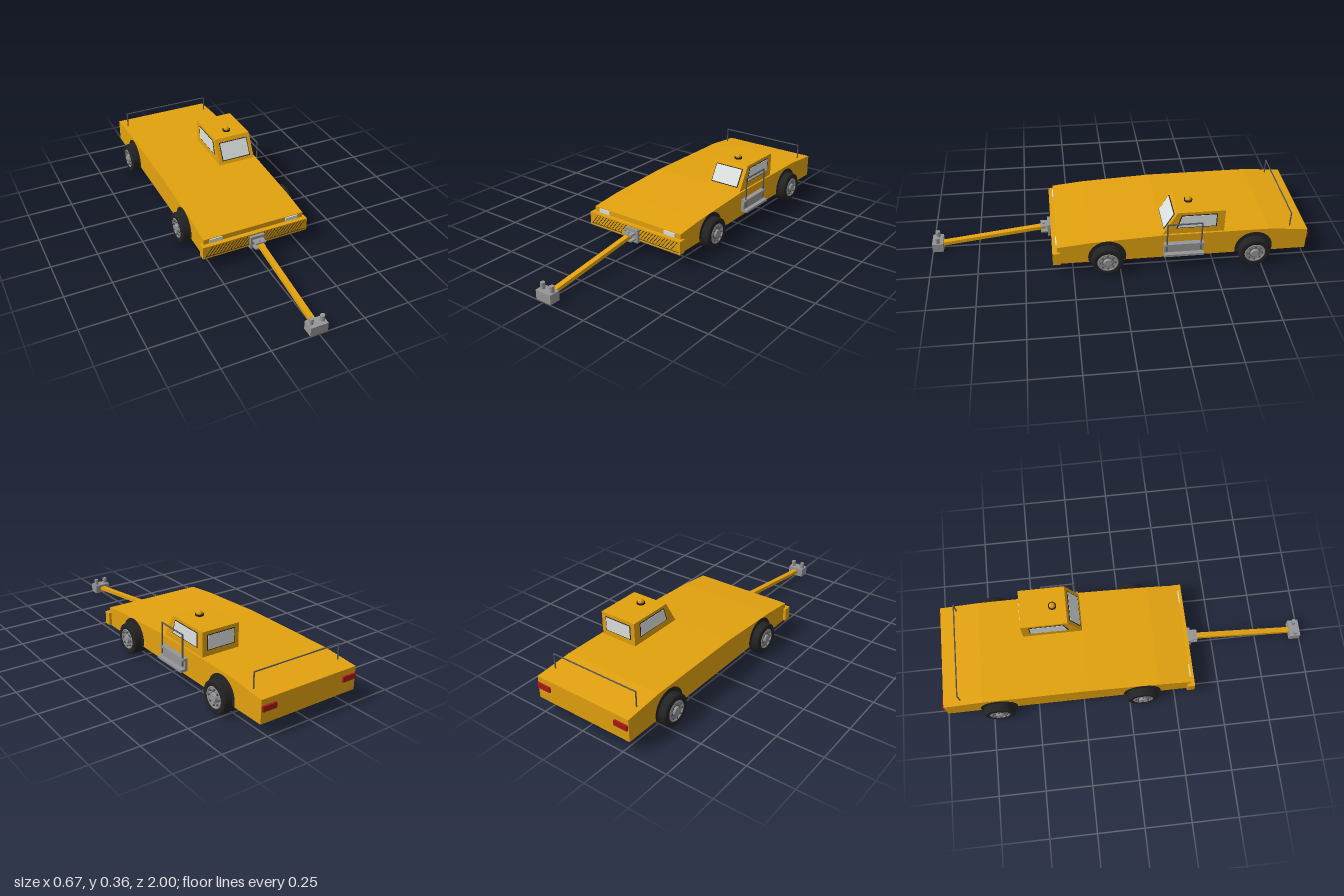
import * as THREE from 'three';

const mat = (name, color, extra = {}) => {
  const m = new THREE.MeshStandardMaterial({ color, ...extra });
  m.name = name;
  return m;
};

export function createModel() {
  const root = new THREE.Group();
  root.name = 'towTractor';
  const yellow = mat('yellowPaint', 0xe3a20f);
  const rubber = mat('rubber', 0x232323);
  const steel = mat('steel', 0x969698);
  const darkSteel = mat('darkSteel', 0x55585c);
  const glass = mat('glass', 0xdde3e2);
  const red = mat('redLamp', 0xa81818);
  const amber = mat('amberLamp', 0xe09a10);

  const add = (name, geo, m, x = 0, y = 0, z = 0, parent = root) => {
    const mesh = new THREE.Mesh(geo, m);
    mesh.name = name;
    mesh.position.set(x, y, z);
    parent.add(mesh);
    return mesh;
  };
  // Box given by its limits on each axis
  const box = (name, m, x0, x1, y0, y1, z0, z1) =>
    add(name, new THREE.BoxGeometry(x1 - x0, y1 - y0, z1 - z0), m,
      (x0 + x1) / 2, (y0 + y1) / 2, (z0 + z1) / 2);
  // Side profile of [z, y] points, extruded from x0 to x1
  const profile = (name, m, pts, x0, x1) => {
    const shape = new THREE.Shape(pts.map(([z, y]) => new THREE.Vector2(z, y)));
    const geo = new THREE.ExtrudeGeometry(shape, { depth: x1 - x0, bevelEnabled: false });
    geo.rotateY(-Math.PI / 2).translate(x1, 0, 0);
    return add(name, geo, m);
  };
  // Round bar between two points
  const rod = (name, a, b, r, m) => {
    const p = new THREE.Vector3(...a), q = new THREE.Vector3(...b);
    const mesh = add(name, new THREE.CylinderGeometry(r, r, p.distanceTo(q) + r, 10), m);
    mesh.position.copy(p).add(q).multiplyScalar(0.5);
    mesh.quaternion.setFromUnitVectors(new THREE.Vector3(0, 1, 0), q.sub(p).normalize());
    return mesh;
  };

  // Body and underside plate
  profile('body', yellow, [[0.33, 0.062], [0.33, 0.168], [0.16, 0.186], [-0.22, 0.206],
    [-0.78, 0.206], [-0.99, 0.188], [-0.99, 0.066]], -0.285, 0.285);
  box('chassisPlate', steel, -0.19, 0.19, 0.04, 0.066, -0.94, 0.31);

  // Front bumper with slanted warning stripes
  box('bumper', yellow, -0.3, 0.3, 0.068, 0.14, 0.315, 0.355);
  for (let i = 0; i < 28; i++) {
    const x = -0.285 + i * 0.0195;
    const s = new THREE.Shape([[0, 0.083], [0.004, 0.083], [0.044, 0.134], [0.04, 0.134]]
      .map(([a, b]) => new THREE.Vector2(a, b)));
    add('bumperStripe', new THREE.ShapeGeometry(s), rubber, x, 0, 0.356);
  }
  box('bumperGroove', rubber, -0.29, 0.29, 0.079, 0.081, 0.354, 0.357);

  // Lamps
  for (const s of [-1, 1]) {
    add('headlight', new THREE.BoxGeometry(0.07, 0.021, 0.008), glass, s * 0.217, 0.154, 0.332);
    add('tailLight', new THREE.BoxGeometry(0.078, 0.028, 0.014), red, s * 0.241, 0.143, -0.993);
  }

  // Wheels
  const tyreProfile = [[0.052, -0.06], [0.076, -0.06], [0.082, -0.056], [0.084, -0.048],
    [0.084, 0.048], [0.082, 0.056], [0.076, 0.06], [0.056, 0.06], [0.053, 0.052]]
    .map(([r, y]) => new THREE.Vector2(r, y));
  const tyreGeo = new THREE.LatheGeometry(tyreProfile, 36);
  const rimGeo = new THREE.CylinderGeometry(0.054, 0.054, 0.108, 28);
  const ringGeo = new THREE.TorusGeometry(0.051, 0.004, 8, 28).rotateX(Math.PI / 2);
  const hubGeo = new THREE.CylinderGeometry(0.02, 0.024, 0.012, 20);
  const recessGeo = new THREE.RingGeometry(0.026, 0.03, 28).rotateX(-Math.PI / 2);
  const boltGeo = new THREE.CylinderGeometry(0.005, 0.005, 0.012, 8);
  for (const s of [-1, 1]) for (const z of [0.07, -0.708]) {
    const wheel = new THREE.Group();
    wheel.name = 'wheel';
    wheel.position.set(s * 0.27, 0.084, z);
    wheel.rotation.z = -s * Math.PI / 2;
    root.add(wheel);
    add('tyre', tyreGeo, rubber, 0, 0, 0, wheel);
    add('rim', rimGeo, steel, 0, 0, 0, wheel);
    add('rimRing', ringGeo, steel, 0, 0.057, 0, wheel);
    add('rimGroove', recessGeo, darkSteel, 0, 0.055, 0, wheel);
    add('hub', hubGeo, steel, 0, 0.059, 0, wheel);
    for (let i = 0; i < 8; i++) {
      const a = i * Math.PI / 4;
      add('bolt', boltGeo, darkSteel, Math.cos(a) * 0.039, 0.057, Math.sin(a) * 0.039, wheel);
    }
    // Dark wheel arch on the body side, cut off at the sill
    const arch = [];
    for (let i = 0; i <= 24; i++) {
      const a = -0.24 + (Math.PI + 0.48) * i / 24;
      arch.push([z + 0.1 * Math.cos(a), 0.09 + 0.1 * Math.sin(a)]);
    }
    profile('wheelArch', rubber, arch, s * 0.285 - 0.002, s * 0.285 + 0.002);
  }

  // Cab
  profile('cab', yellow, [[-0.22, 0.19], [-0.22, 0.205], [-0.293, 0.336],
    [-0.543, 0.336], [-0.543, 0.19]], 0.06, 0.275);
  const tilt = -Math.atan2(0.073, 0.131);
  const ny = -Math.sin(tilt), nz = Math.cos(tilt);
  for (const [name, m, w, h, out] of [['windshieldFrame', rubber, 0.172, 0.107, 0.001],
    ['windshield', glass, 0.164, 0.098, 0.0025]])
    add(name, new THREE.BoxGeometry(w, h, 0.004), m, 0.1675, 0.269 + ny * out,
      -0.2557 + nz * out).rotation.x = tilt;
  const pane = [[-0.298, 0.245], [-0.318, 0.316], [-0.497, 0.316], [-0.497, 0.245]];
  const frame = [[-0.291, 0.241], [-0.314, 0.32], [-0.502, 0.32], [-0.502, 0.241]];
  for (const x of [0.06, 0.275]) {
    profile('sideWindowFrame', rubber, frame, x - 0.002, x + 0.002);
    profile('sideWindow', glass, pane, x - 0.0035, x + 0.0035);
  }
  box('rearWindowFrame', rubber, 0.086, 0.249, 0.236, 0.317, -0.545, -0.541);
  box('rearWindow', glass, 0.09, 0.245, 0.24, 0.313, -0.5465, -0.541);

  // Roof beacon
  add('beaconBase', new THREE.CylinderGeometry(0.022, 0.022, 0.009, 24), rubber, 0.167, 0.34, -0.365);
  add('beacon', new THREE.SphereGeometry(0.017, 24, 12, 0, Math.PI * 2, 0, Math.PI / 2),
    amber, 0.167, 0.344, -0.365);

  // Boarding step with grab rail
  box('stepPanel', steel, 0.28, 0.302, 0.095, 0.16, -0.435, -0.225);
  box('upperTread', steel, 0.28, 0.312, 0.15, 0.162, -0.435, -0.225);
  box('lowerTread', steel, 0.28, 0.326, 0.093, 0.106, -0.435, -0.225);
  const grab = [[0.305, 0.12, -0.24], [0.305, 0.286, -0.24], [0.305, 0.286, -0.42], [0.305, 0.12, -0.42]];
  const rear = [[-0.256, 0.19, -0.9], [-0.256, 0.277, -0.9], [0.256, 0.277, -0.9], [0.256, 0.19, -0.9]];
  for (let i = 0; i < 3; i++) {
    rod('grabRail', grab[i], grab[i + 1], 0.004, darkSteel);
    rod('rearRail', rear[i], rear[i + 1], 0.0035, darkSteel);
  }

  // Hitch
  box('hitchPlate', steel, -0.04, 0.04, 0.06, 0.132, 0.35, 0.372);
  box('hitchUpperJaw', steel, -0.03, 0.03, 0.109, 0.117, 0.37, 0.41);
  box('hitchLowerJaw', steel, -0.03, 0.03, 0.077, 0.085, 0.37, 0.41);
  rod('hitchPin', [0, 0.074, 0.395], [0, 0.121, 0.395], 0.007, steel);

  // Tow bar and its head
  const run = Math.hypot(0.57, 0.073);
  add('towBar', new THREE.BoxGeometry(0.029, 0.02, run), yellow, 0, 0.0635, 0.67)
    .rotation.x = Math.atan2(0.073, 0.57);
  box('towHead', steel, -0.047, 0.047, 0.002, 0.052, 0.942, 1.0);
  for (const s of [-1, 1])
    add('towHeadPin', new THREE.CylinderGeometry(0.012, 0.012, 0.04, 16), steel, s * 0.03, 0.064, 0.97);

  return root;
}
